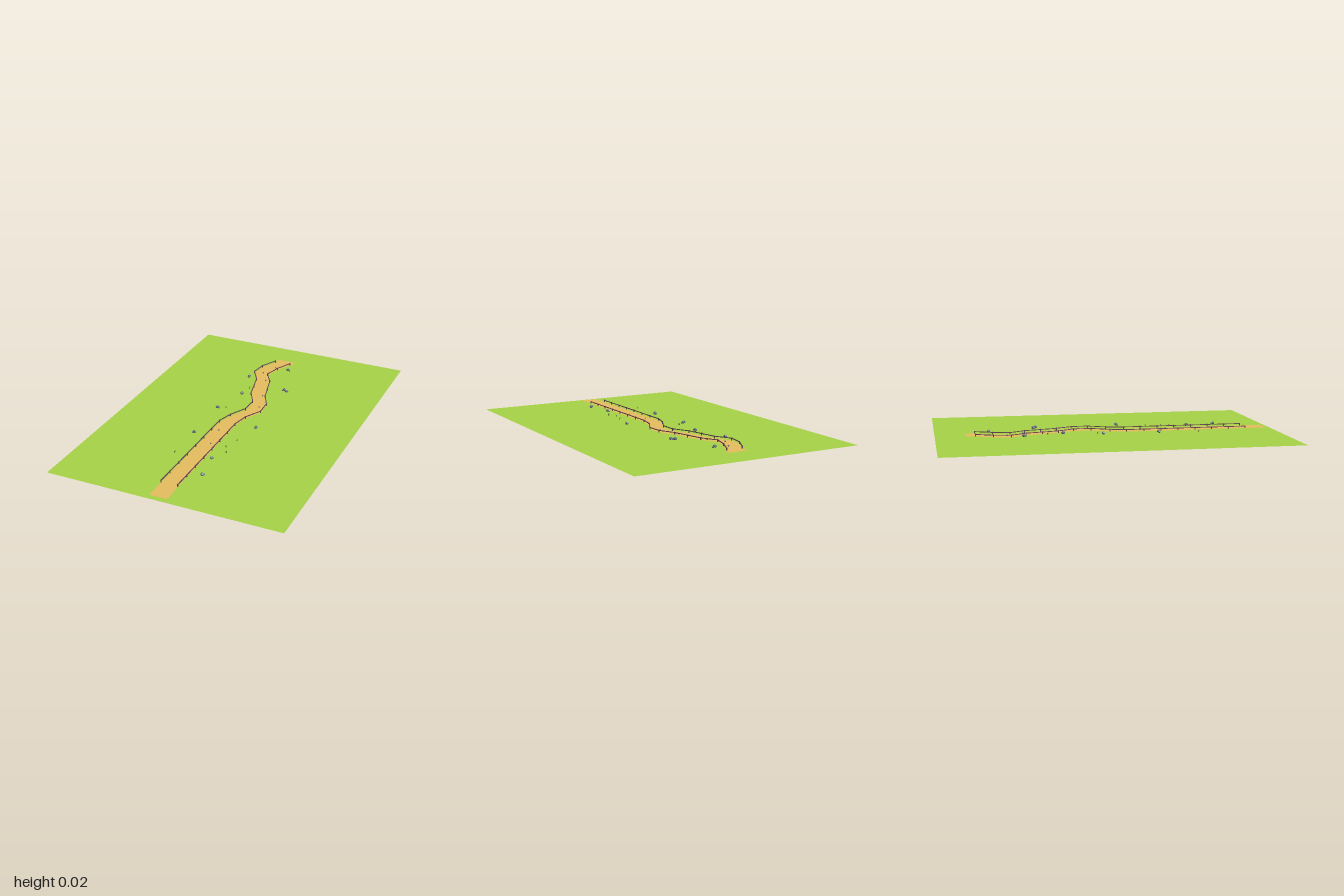
import * as THREE from 'three';

const mat = (name, color, side = THREE.FrontSide) => {
  const m = new THREE.MeshStandardMaterial({ color, side });
  m.name = name;
  return m;
};

// Path edges as [x, z], running from the back to the front
const LEFT = [[-0.09, -0.77], [-0.14, -0.67], [-0.155, -0.57], [-0.1, -0.48], [-0.053, -0.285],
  [0, -0.19], [0, -0.085], [-0.053, 0.02], [-0.08, 0.115], [-0.08, 0.84]];
const RIGHT = [[0.01, -0.77], [-0.037, -0.67], [-0.063, -0.57], [-0.01, -0.48], [0.042, -0.285],
  [0.09, -0.19], [0.095, -0.09], [0.042, 0.01], [0.021, 0.115], [0.021, 0.84]];

const ROCKS = [[0.03, -0.685], [-0.16, -0.5], [0.117, -0.415], [0.136, -0.4], [-0.106, -0.265],
  [-0.165, -0.04], [0.147, 0.095], [-0.155, 0.29], [0.063, 0.515], [0.09, 0.69]];
const PEBBLES = [[-0.055, -0.69], [-0.1, -0.59], [-0.043, -0.495], [0.02, -0.295], [0.06, -0.15],
  [-0.04, 0.205], [-0.015, 0.365]];
const TUFTS = [[-0.095, -0.355], [-0.12, -0.065], [0.08, 0.36], [0.105, 0.27], [0.105, 0.415], [-0.16, 0.53]];

export function createModel() {
  const grass = mat('grass green', 0xa8d548, THREE.DoubleSide);
  const dirt = mat('sandy dirt', 0xe8c060, THREE.DoubleSide);
  const wood = mat('plum brown wood', 0x6a4a52);
  const stone = mat('blue grey stone', 0x707c84);
  stone.flatShading = true;
  const leaf = mat('leaf green', 0x8a9c38);
  leaf.flatShading = true;

  const model = new THREE.Group();
  const add = (name, geo, material, x = 0, y = 0, z = 0, parent = model) => {
    const mesh = new THREE.Mesh(geo, material);
    mesh.name = name;
    mesh.position.set(x, y, z);
    parent.add(mesh);
    return mesh;
  };

  // Flat meadow
  add('ground', new THREE.PlaneGeometry(1.384, 2).rotateX(-Math.PI / 2), grass);

  // Winding path, a thin sheet with plain ends beyond the fences
  const outline = [[-0.09, -0.82], ...LEFT, [-0.08, 0.97], [0.027, 0.97],
    ...[...RIGHT].reverse(), [0.025, -0.77], [0.025, -0.82]];
  const shape = new THREE.Shape(outline.map(([x, z]) => new THREE.Vector2(x, -z)));
  add('path', new THREE.ShapeGeometry(shape).rotateX(-Math.PI / 2), dirt, 0, 0.004, 0);

  // Low fences: a rail along each edge, with posts about every 0.1
  const fence = (name, points) => {
    const group = new THREE.Group();
    group.name = name;
    model.add(group);
    const post = (x, z) => add('post', new THREE.BoxGeometry(0.005, 0.016, 0.005), wood, x, 0.012, z, group);
    for (let i = 0; i < points.length - 1; i++) {
      const [ax, az] = points[i], [bx, bz] = points[i + 1];
      const dx = bx - ax, dz = bz - az, len = Math.hypot(dx, dz);
      const rail = add('rail', new THREE.BoxGeometry(0.005, 0.004, len), wood,
        (ax + bx) / 2, 0.016, (az + bz) / 2, group);
      rail.rotation.y = Math.atan2(dx, dz);
      const n = Math.max(1, Math.round(len / 0.1));
      for (let k = 0; k < n; k++) post(ax + dx * k / n, az + dz * k / n);
    }
    post(...points[points.length - 1]);
  };
  fence('rightFence', LEFT);
  fence('leftFence', RIGHT);

  // Boulders beside the path, each with a smaller stone
  ROCKS.forEach(([x, z], i) => {
    const rock = add('rock', new THREE.DodecahedronGeometry(0.011), stone, x, 0.014, z);
    rock.rotation.y = i * 1.3;
    rock.scale.set(1.1, 0.85, 0.9);
    add('smallRock', new THREE.DodecahedronGeometry(0.006), stone,
      x + 0.011 * Math.cos(i * 1.3), 0.01, z + 0.009 * Math.sin(i * 1.3));
  });

  // Pebbles on the path
  PEBBLES.forEach(([x, z], i) => {
    const pebble = add('pebble', new THREE.DodecahedronGeometry(0.005), stone, x, 0.008, z);
    pebble.rotation.y = i;
  });

  // Grass tufts in the meadow
  TUFTS.forEach(([x, z], i) => {
    const tuft = new THREE.Group();
    tuft.name = 'grassTuft';
    tuft.position.set(x, 0.003, z);
    tuft.rotation.y = i;
    model.add(tuft);
    for (let k = 0; k < 3; k++) {
      const a = k * Math.PI * 2 / 3;
      const blade = add('blade', new THREE.ConeGeometry(0.003, 0.014, 4), leaf,
        0.003 * Math.cos(a), 0.008, 0.003 * Math.sin(a), tuft);
      blade.rotation.set(0.3 * Math.sin(a), 0, -0.3 * Math.cos(a));
    }
  });

  return model;
}
